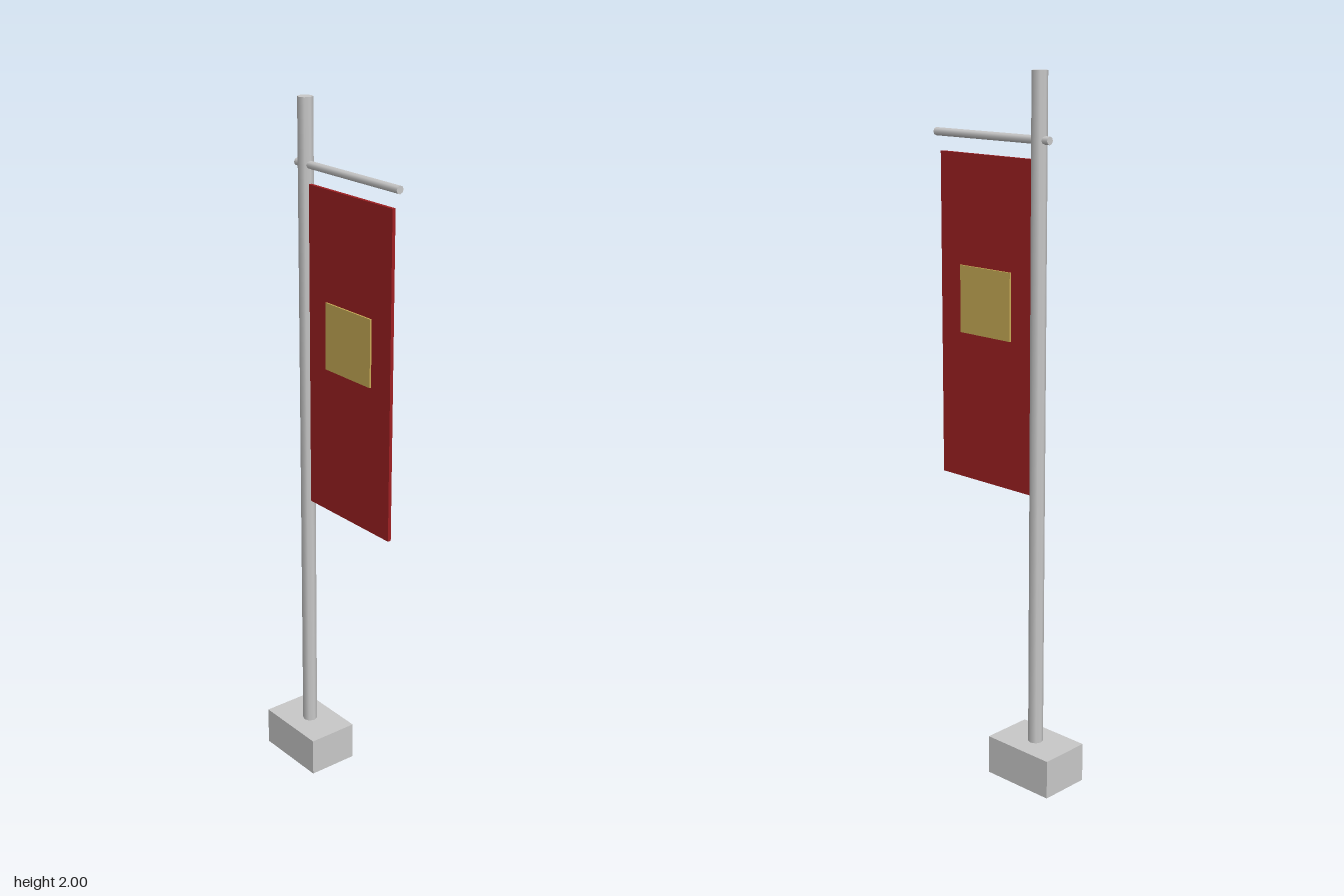
import * as THREE from 'three';

export function createModel() {
  const group = new THREE.Group();
  const metal = new THREE.MeshStandardMaterial({ name: 'light grey', color: 0xc8c8c8 });
  const cloth = new THREE.MeshStandardMaterial({ name: 'banner red', color: 0x9e2022 });
  const gold = new THREE.MeshStandardMaterial({ name: 'emblem gold', color: 0xc9ac56 });

  const add = (name, geometry, material, x, y, z = 0) => {
    const mesh = new THREE.Mesh(geometry, material);
    mesh.name = name;
    mesh.position.set(x, y, z);
    group.add(mesh);
    return mesh;
  };

  const poleX = -0.136;

  // Foot block and upright pole
  add('base', new THREE.BoxGeometry(0.228, 0.114, 0.152), metal, poleX, 0.057);
  add('pole', new THREE.CylinderGeometry(0.0215, 0.0215, 1.886, 8), metal, poleX, 1.057);

  // Crossbar passing through the pole
  const bar = add('crossbar', new THREE.CylinderGeometry(0.0112, 0.0112, 0.423, 8), metal, 0.0385, 1.823);
  bar.rotation.z = Math.PI / 2;

  // Hanging banner
  add('banner', new THREE.BoxGeometry(0.345, 0.92, 0.01), cloth, 0.0555, 1.312);

  // Square patch on both faces of the banner
  for (const side of [1, -1]) {
    add(side > 0 ? 'frontPatch' : 'backPatch',
      new THREE.BoxGeometry(0.19, 0.19, 0.005), gold, 0.055, 1.37, side * 0.0075);
  }

  return group;
}
